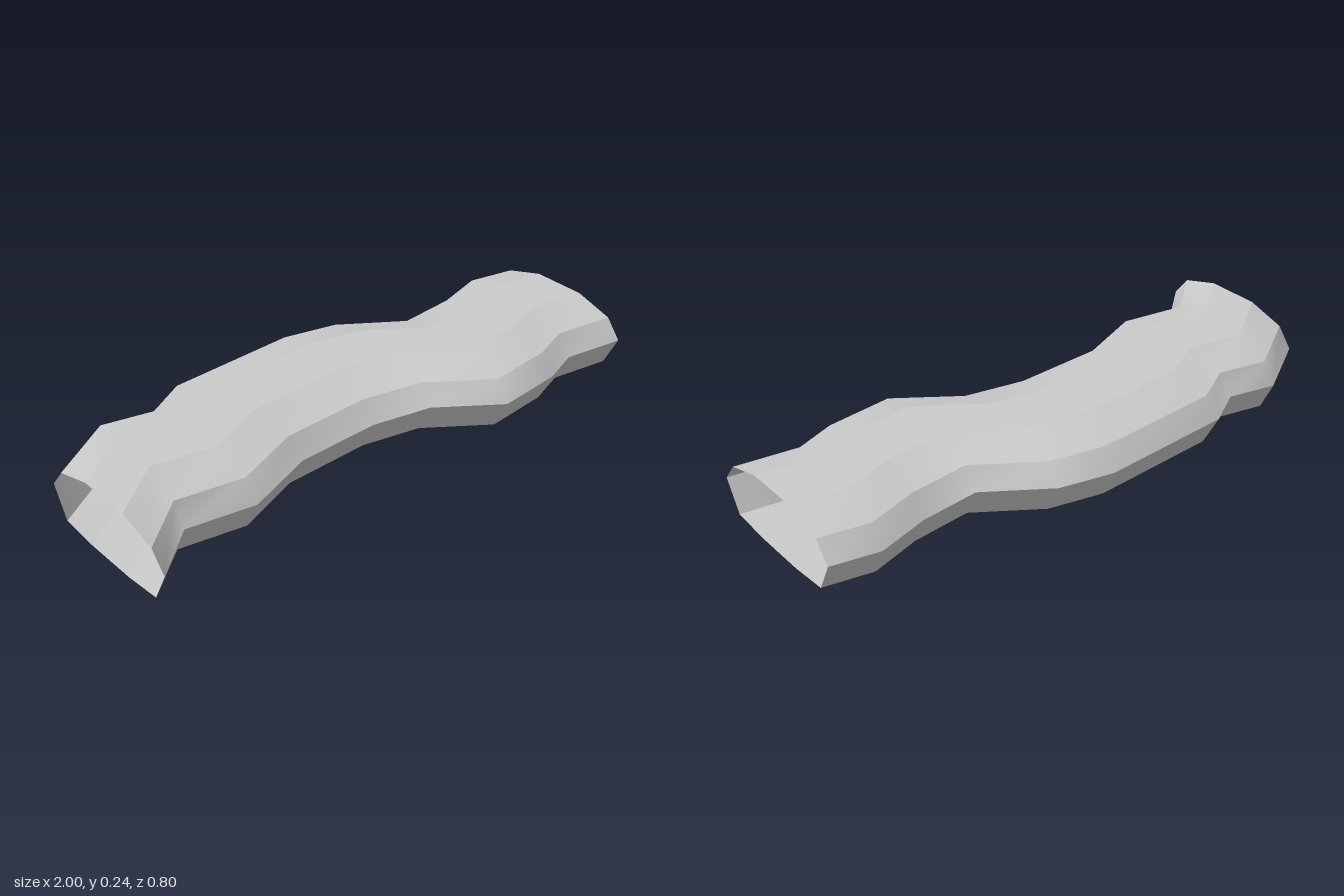
import * as THREE from 'three';

// Back and front edge of each cross-section: [backX, backZ, frontX, frontZ]
const stations = [
  [-1, -0.22, -1, 0.375],
  [-0.76, -0.36, -0.83, 0.235],
  [-0.59, -0.315, -0.59, 0.283],
  [-0.455, -0.39, -0.34, 0.197],
  [0.035, -0.4, -0.035, 0.195],
  [0.225, -0.35, 0.18, 0.245],
  [0.44, -0.2, 0.39, 0.4],
  [0.65, -0.213, 0.635, 0.383],
  [0.835, -0.26, 0.775, 0.335],
  [1, -0.22, 1, 0.375],
];

// Ten-sided cross-section: [position from back (-1) to front (1), height]
const half = [[1 / 3, 0.24], [0.81, 0.198], [1, 0.127], [0.81, 0.013], [1 / 3, 0]];
const profile = [...half, ...half.map(([u, y]) => [-u, y]).reverse()];

function sectionPoint([bx, bz, fx, fz], [u, y]) {
  const t = (u + 1) / 2;
  return [bx + (fx - bx) * t, y, bz + (fz - bz) * t];
}

// One lengthwise strip: smooth along the bends, sharp against its neighbours
function stripGeometry(p, q) {
  const positions = [];
  const index = [];
  stations.forEach((s, i) => {
    positions.push(...sectionPoint(s, p), ...sectionPoint(s, q));
    if (i === 0) return;
    const a = 2 * (i - 1);
    index.push(a, a + 1, a + 2, a + 1, a + 3, a + 2);
  });
  const geometry = new THREE.BufferGeometry();
  geometry.setAttribute('position', new THREE.Float32BufferAttribute(positions, 3));
  geometry.setIndex(index);
  geometry.computeVertexNormals();
  return geometry;
}

export function createModel() {
  const model = new THREE.Group();
  model.name = 'windingTube';
  const material = new THREE.MeshStandardMaterial({ color: 0xcccccc, side: THREE.DoubleSide });
  const names = ['frontShoulder', 'frontUpperSide', 'frontLowerSide', 'frontUnderside', 'bottom',
    'backUnderside', 'backLowerSide', 'backUpperSide', 'backShoulder', 'top'];

  // Walls of the open-ended tube
  profile.forEach((p, i) => {
    const wall = new THREE.Mesh(stripGeometry(p, profile[(i + 1) % profile.length]), material);
    wall.name = names[i];
    model.add(wall);
  });
  return model;
}
